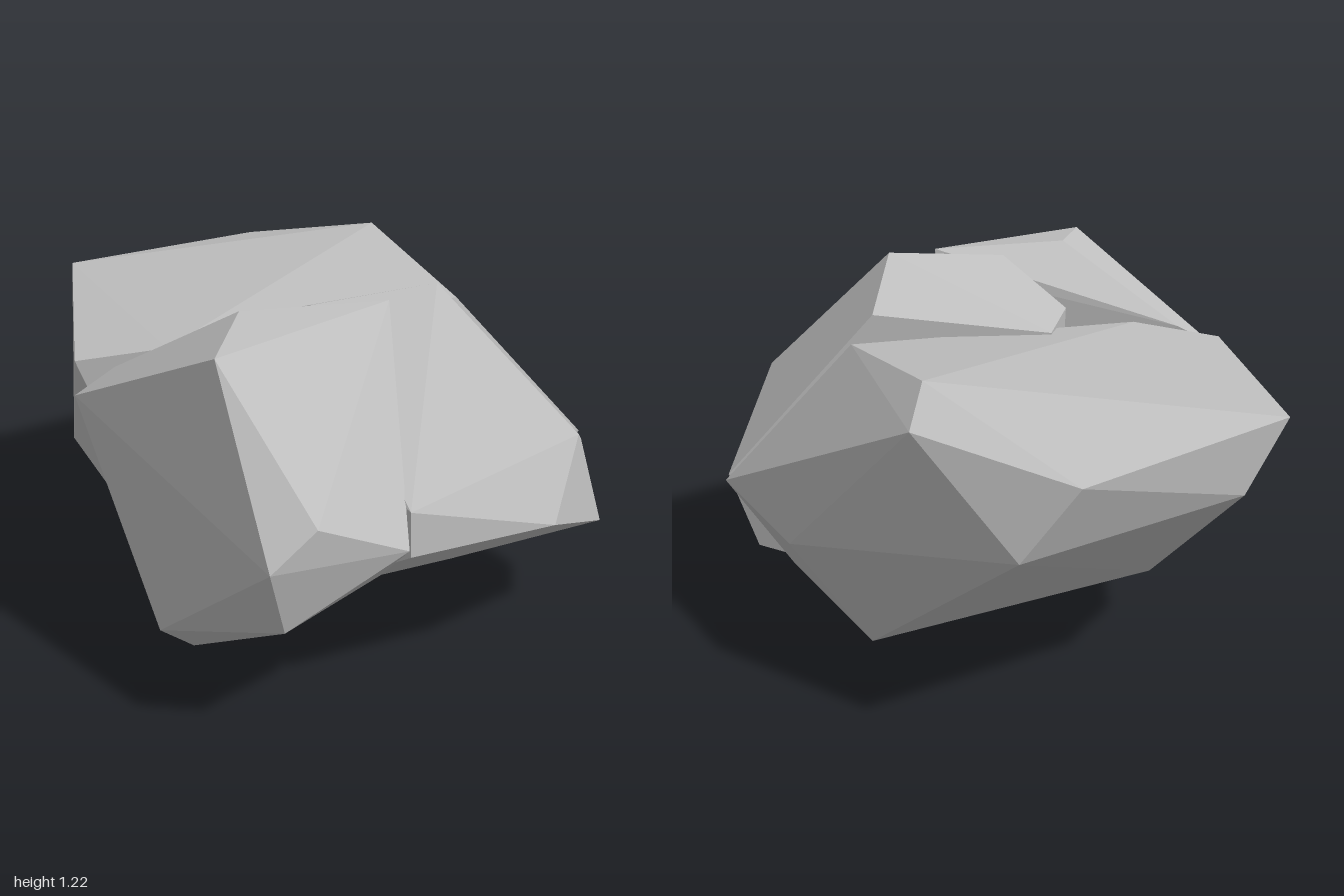
import * as THREE from 'three';
import { ConvexGeometry } from 'three/addons/geometries/ConvexGeometry.js';

const stone = new THREE.MeshStandardMaterial({ color: 0xbfbfbf });
stone.name = 'light grey stone';

// A faceted rock: the convex hull of a few corner points
function rock(name, corners) {
  const geometry = new ConvexGeometry(corners.map((c) => new THREE.Vector3(...c)));
  const mesh = new THREE.Mesh(geometry, stone);
  mesh.name = name;
  return mesh;
}

export function createModel() {
  const group = new THREE.Group();
  group.name = 'rockCluster';

  // Large slab leaning at the back
  group.add(rock('backRock', [
    [-0.34, 0.99, -1], [0.46, 0.97, -0.97], [0.73, 1.05, -0.5], [0.585, 1.13, -0.36],
    [0.46, 1.03, 0.25], [-0.53, 0.98, -0.055], [-0.765, 0.93, -0.25],
    [0.6, 0.725, -0.86], [-0.19, 0.757, -0.975], [-0.72, 0.6, -0.37],
    [0.825, 0.525, 0.525], [0.8, 0.43, 0.14], [0.62, 0.165, 0.45],
    [0.545, 0, 0.05], [-0.32, 0.2, -0.42], [-0.52, 0.065, 0.035],
  ]));

  // Front rock on the model's left
  group.add(rock('frontLeftRock', [
    [0.13, 1.22, 0.51], [0.35, 1.1, 0.285], [-0.16, 1.02, -0.05],
    [-0.25, 1.18, 0.345], [-0.395, 1, 0.16],
    [0.42, 0.75, 0.89], [0.22, 0.53, 1], [-0.295, 0.69, 0.895], [-0.295, 0.54, 0.9],
    [0.79, 0.52, 0.57], [0.59, 0.375, 0.86], [0.685, 0.2, 0.58],
    [0.385, 0.077, 0.355], [-0.36, 0.07, 0.18],
  ]));

  // Front rock on the model's right
  group.add(rock('frontRightRock', [
    [-0.72, 1.16, 0.5], [-0.06, 1.2, 0.5], [-0.06, 1.13, 0.49], [-0.49, 1.2, 0.3],
    [-0.7, 0.94, -0.105], [-0.83, 0.86, -0.145],
    [-0.795, 0.63, 0.865], [-0.65, 0.745, 0.9], [-0.345, 0.6, 0.95], [-0.71, 0.39, 0.82],
    [-0.825, 0.2, 0.31], [-0.68, 0.075, 0.28], [-0.46, 0.048, 0.21],
    [-0.16, 0.13, 0.4], [-0.16, 0.3, 0.6],
  ]));

  return group;
}
